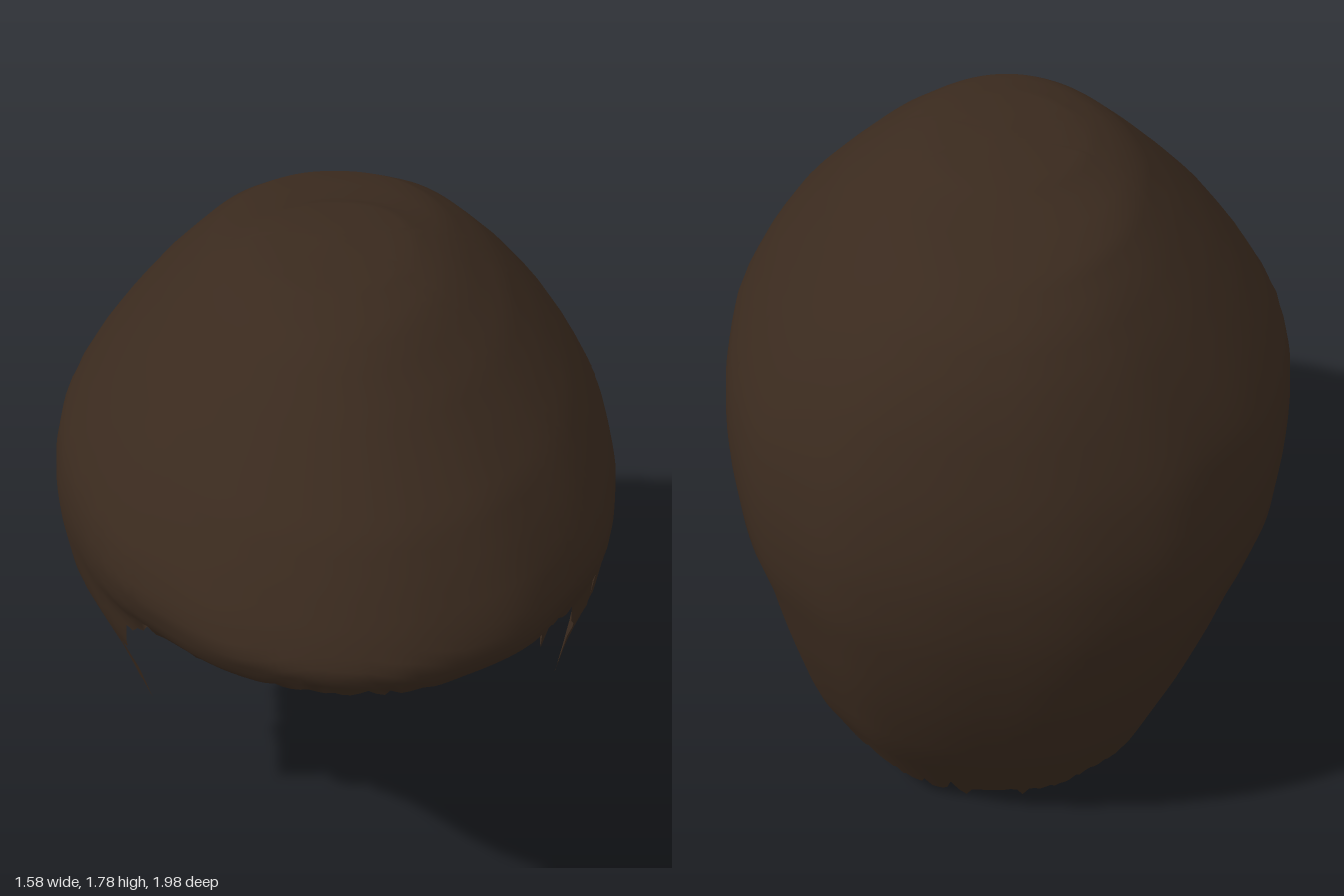
import * as THREE from 'three';

// Horizontal sections of the hair: [y, front z, back z, half width, sideways shift]
const SECTIONS = [
  [1.785, -0.05, -0.05, 0, 0], [1.77, 0.2, -0.24, 0.19, 0], [1.73, 0.37, -0.34, 0.29, 0],
  [1.69, 0.44, -0.56, 0.355, 0], [1.6, 0.56, -0.71, 0.46, 0.01], [1.5, 0.68, -0.8, 0.555, 0.01],
  [1.4, 0.8, -0.86, 0.64, 0.01], [1.3, 0.88, -0.905, 0.71, 0.005], [1.2, 0.95, -0.945, 0.765, 0],
  [1.11, 0.995, -0.97, 0.785, 0], [1.02, 0.95, -0.99, 0.79, 0], [0.94, 0.84, -0.995, 0.785, 0],
  [0.82, 0.82, -0.995, 0.765, 0], [0.7, 0.78, -0.98, 0.715, 0], [0.6, 0.76, -0.96, 0.68, 0.01],
  [0.48, 0.74, -0.93, 0.645, 0.015], [0.3, 0.7, -0.87, 0.59, 0.025], [0.14, 0.66, -0.79, 0.52, 0.02],
  [0, 0.6, -0.72, 0.46, 0.02],
];
// Hem height by angle in degrees, from the fringe (0) to the nape (180)
const HEM = [
  [0, 1.02], [10, 1.0], [20, 0.96], [35, 0.95], [50, 0.92], [55, 0.82], [60, 0.7], [62, 0.6],
  [64, 0.5], [68, 0.52], [76, 0.61], [83, 0.66], [90, 0.72], [97, 0.71], [100, 0.6],
  [103, 0.45], [105, 0.25], [112, 0.16], [131, 0.125], [150, 0.09], [165, 0.04], [180, 0.04],
];
const CENTRE_Z = -0.05, TOP = 1.785, COLS = 216, ROWS = 36;

// Linear lookup in a table whose first column is the key
function lookup(table, key) {
  const rising = table[1][0] > table[0][0];
  let i = 1;
  while (i < table.length - 1 && (rising ? key > table[i][0] : key < table[i][0])) i++;
  const a = table[i - 1], b = table[i];
  const t = THREE.MathUtils.clamp((key - a[0]) / (b[0] - a[0]), 0, 1);
  return a.map((v, k) => v + (b[k] - v) * t);
}

function seeded(seed) {
  return () => (seed = (seed * 16807) % 2147483647) / 2147483647;
}

// Oval front half; squarer back half, fuller on its left and towards the nape
function hairPoint(angle, y) {
  const [, front, back, halfWidth, shift] = lookup(SECTIONS, y);
  const c = Math.cos(angle), s = Math.sin(angle);
  const lower = THREE.MathUtils.clamp((TOP - y) / 0.7, 0, 1);
  const nape = THREE.MathUtils.smoothstep(1.2 - y, 0, 0.7);
  const squareness = (s > 0 ? 2.35 : 2.05) + nape * (s > 0 ? 0.5 : 0.3);
  const power = c > 0 ? 1 : 2 / squareness;
  const across = Math.sign(s) * Math.abs(s) ** power;
  const along = Math.sign(c) * Math.abs(c) ** power;
  const depth = c > 0 ? front - CENTRE_Z : CENTRE_Z - back;
  const taper = c > 0 ? 1 - 0.06 * c * c : 1;
  // soft locks that fade out at the front, back and sides
  const lock = 1 + 0.006 * lower * Math.sin(angle * 12 + y) * (2 * s * c) ** 2;
  return [
    across * halfWidth * taper * lock + shift + 0.04 * Math.max(0, c) * lower,
    y,
    CENTRE_Z + along * depth * lock,
  ];
}

// Open shell running from the crown to a ragged hem
function hairGeometry() {
  const random = seeded(4711);
  const positions = [], index = [];
  for (let i = 0; i < COLS; i++) {
    const angle = (i / COLS) * Math.PI * 2;
    const signed = THREE.MathUtils.radToDeg(angle > Math.PI ? angle - 2 * Math.PI : angle);
    // the fringe lifts a little right of centre
    const lift = 0.035 * Math.exp(-(((signed + 14) / 12) ** 2));
    const hem = lookup(HEM, Math.abs(signed))[1] + lift;
    // mostly even ends, with a few loose or missing strands
    const strand = random() < 0.16 ? (random() - 0.55) * 0.14 : 0;
    const jag = strand + (random() - 0.5) * 0.02;
    for (let j = 0; j <= ROWS; j++) {
      let y = TOP - (TOP - hem) * Math.pow(j / ROWS, 1.6);
      if (j === ROWS) y = Math.max(0, y + jag);
      positions.push(...hairPoint(angle, y));
    }
  }
  for (let i = 0; i < COLS; i++) {
    const a = i * (ROWS + 1), b = ((i + 1) % COLS) * (ROWS + 1);
    for (let j = 0; j < ROWS; j++) {
      if (j > 0) index.push(a + j, b + j + 1, b + j);
      index.push(a + j, a + j + 1, b + j + 1);
    }
  }
  const geometry = new THREE.BufferGeometry();
  geometry.setAttribute('position', new THREE.Float32BufferAttribute(positions, 3));
  geometry.setIndex(index);
  geometry.computeVertexNormals();
  // the crown points share one spot, so give them one upward normal
  for (let i = 0; i < COLS; i++) geometry.attributes.normal.setXYZ(i * (ROWS + 1), 0, 1, 0);
  return geometry;
}

export function createModel() {
  const group = new THREE.Group();
  group.name = 'shortHair';
  const brown = new THREE.MeshStandardMaterial({ color: 0x3a2a1e, side: THREE.DoubleSide });
  brown.name = 'darkBrown';
  const hair = new THREE.Mesh(hairGeometry(), brown);
  hair.name = 'hairShell';
  group.add(hair);
  return group;
}
